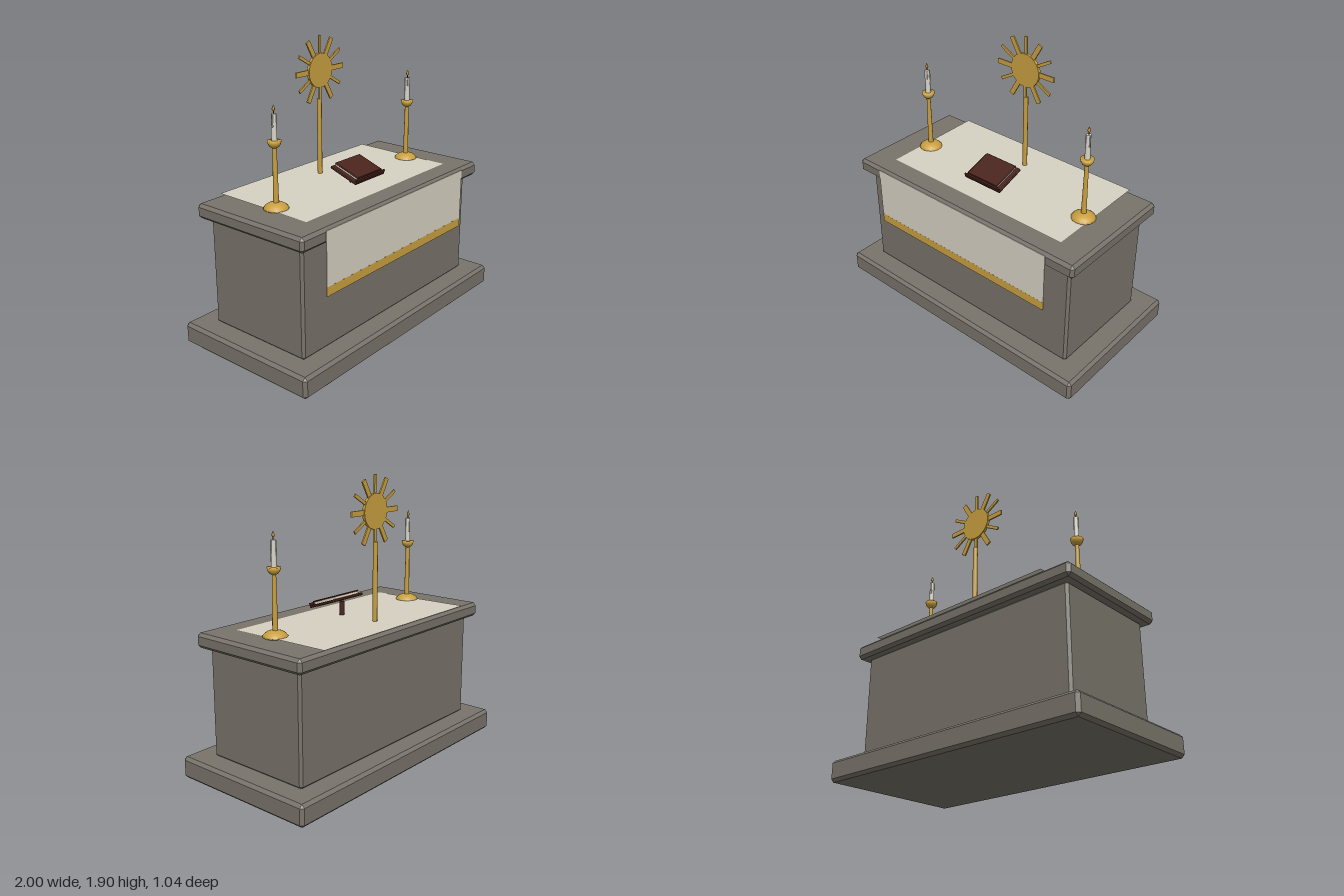
import * as THREE from 'three';
import { ConvexGeometry } from 'three/addons/geometries/ConvexGeometry.js';

const flat = (name, color) => Object.assign(new THREE.MeshStandardMaterial({ color }), { name });

export function createModel() {
  const stone = flat('stone', 0x78736a);
  const linen = flat('linen', 0xd6d1c2);
  linen.side = THREE.DoubleSide;
  const gold = flat('gold', 0xc9a040);
  const leather = flat('darkLeather', 0x4a241d);
  const paper = flat('paper', 0xd8cfb4);
  const wax = flat('wax', 0xd9d5c8);
  const flameMat = flat('flame', 0xc08a30);
  const wickMat = flat('wick', 0x2a2622);

  const model = new THREE.Group();
  model.name = 'altar';

  function add(parent, name, geometry, material, x = 0, y = 0, z = 0) {
    const mesh = new THREE.Mesh(geometry, material);
    mesh.name = name;
    mesh.position.set(x, y, z);
    parent.add(mesh);
    return mesh;
  }
  const box = (w, h, d) => new THREE.BoxGeometry(w, h, d);

  // Box with chamfered edges: each corner is cut back along all three axes
  function chamferBox(w, h, d, c) {
    const points = [];
    for (const sx of [-1, 1]) for (const sy of [-1, 1]) for (const sz of [-1, 1]) {
      const [x, y, z] = [w / 2, h / 2, d / 2];
      points.push(
        new THREE.Vector3(sx * x, sy * (y - c), sz * (z - c)),
        new THREE.Vector3(sx * (x - c), sy * y, sz * (z - c)),
        new THREE.Vector3(sx * (x - c), sy * (y - c), sz * z));
    }
    return new ConvexGeometry(points);
  }

  // Stone step, body and table slab
  add(model, 'baseStep', chamferBox(2, 0.145, 1.045, 0.02), stone, 0, 0.0725, 0);
  add(model, 'body', chamferBox(1.71, 0.73, 0.76, 0.016), stone, 0, 0.505, 0);
  add(model, 'slab', chamferBox(1.83, 0.096, 0.88, 0.02), stone, 0, 0.91, 0);

  // Cloth: top sheet rising slightly to the back, hanging front and gold hem
  const sheet = add(model, 'clothTop', new THREE.PlaneGeometry(1.43, 0.73), linen, 0, 0.964, -0.075);
  sheet.rotation.x = -Math.PI / 2 + 0.011;
  add(model, 'clothFront', box(1.43, 0.355, 0.004), linen, 0, 0.7675, 0.442);
  add(model, 'clothHem', box(1.43, 0.06, 0.005), gold, 0, 0.56, 0.442);

  // Candlesticks with candles
  const v = (x, y) => new THREE.Vector2(x, y);
  const footProfile = [v(0, 0), v(0.08, 0), v(0.077, 0.011), v(0.066, 0.024), v(0.049, 0.035), v(0.026, 0.043), v(0, 0.045)];
  const cupProfile = [v(0, 0), v(0.016, 0.001), v(0.029, 0.01), v(0.038, 0.024), v(0.044, 0.046), v(0, 0.046)];
  const flameProfile = [v(0, 0), v(0.007, 0.006), v(0.01, 0.015), v(0.006, 0.028), v(0, 0.042)];
  for (const side of [-1, 1]) {
    const stick = new THREE.Group();
    stick.name = side > 0 ? 'leftCandlestick' : 'rightCandlestick';
    stick.position.set(side * 0.665, 0.957, 0);
    add(stick, 'foot', new THREE.LatheGeometry(footProfile, 16), gold);
    add(stick, 'stem', new THREE.CylinderGeometry(0.013, 0.018, 0.36, 10), gold, 0, 0.21, 0);
    add(stick, 'cup', new THREE.LatheGeometry(cupProfile, 14), gold, 0, 0.382, 0);
    add(stick, 'candle', new THREE.CylinderGeometry(0.015, 0.018, 0.165, 10), wax, 0, 0.508, 0);
    // Wax drips down the candle
    [[0.3, 0.07], [2.3, 0.05], [4.2, 0.085]].forEach(([angle, length]) => {
      const a = side > 0 ? angle : Math.PI - angle;
      add(stick, 'drip', new THREE.CapsuleGeometry(0.0045, length, 3, 6), wax,
        Math.cos(a) * 0.016, 0.585 - length / 2, Math.sin(a) * 0.016);
    });
    add(stick, 'wick', new THREE.CylinderGeometry(0.003, 0.003, 0.02, 6), wickMat, 0, 0.6, 0);
    add(stick, 'flame', new THREE.LatheGeometry(flameProfile, 8), flameMat, 0, 0.602, 0);
    model.add(stick);
  }

  // Sunburst on a post, wide and narrow rays alternating
  add(model, 'sunburstPost', new THREE.CylinderGeometry(0.016, 0.016, 0.524, 8), gold, 0, 1.218, -0.235);
  const sun = new THREE.Group();
  sun.name = 'sunburst';
  sun.position.set(0, 1.67, -0.228);
  add(sun, 'disc', new THREE.CylinderGeometry(0.113, 0.113, 0.02, 28), gold).rotation.x = Math.PI / 2;
  for (let i = 0; i < 12; i++) {
    const a = i * Math.PI / 6;
    const ray = add(sun, 'ray', box(0.13, i % 2 ? 0.02 : 0.034, 0.01), gold,
      Math.cos(a) * 0.163, Math.sin(a) * 0.163, 0);
    ray.rotation.z = a;
  }
  model.add(sun);

  // Book on a slanted stand
  add(model, 'bookStandLeg', new THREE.CylinderGeometry(0.017, 0.017, 0.1, 8), leather, 0, 1.005, 0.045);
  const book = new THREE.Group();
  book.name = 'bookAndStand';
  book.position.set(0, 1.054, 0.093);
  book.rotation.x = 0.33;
  add(book, 'standBoard', chamferBox(0.3, 0.018, 0.222, 0.004), leather);
  add(book, 'standLip', box(0.296, 0.022, 0.01), leather, 0, 0.014, 0.104);
  add(book, 'pages', box(0.235, 0.016, 0.188), paper, 0, 0.016, -0.006);
  add(book, 'cover', chamferBox(0.25, 0.009, 0.2, 0.003), leather, 0, 0.028, -0.003);
  add(book, 'spine', box(0.25, 0.02, 0.006), leather, 0, 0.018, 0.094);
  model.add(book);

  return model;
}
